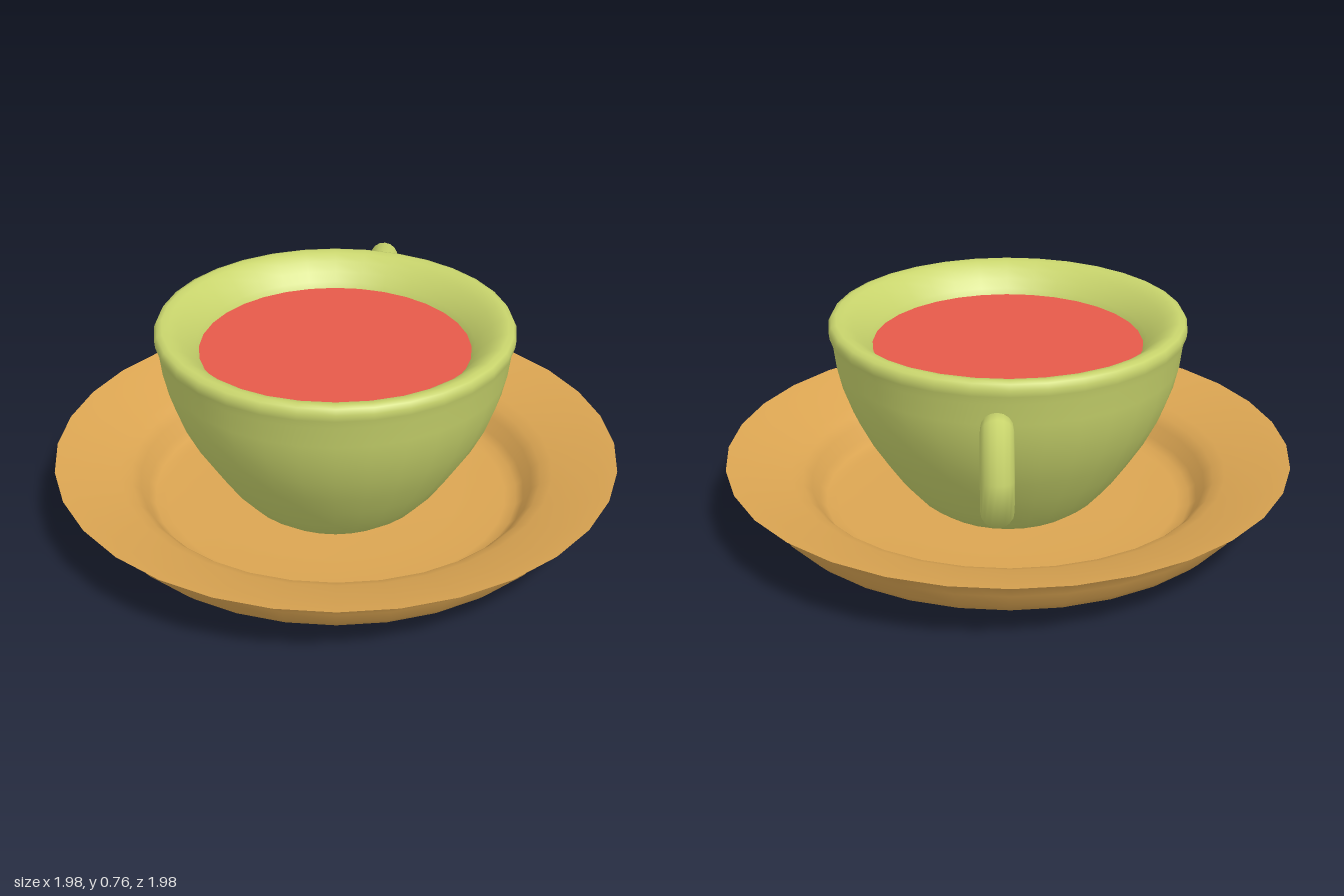
import * as THREE from 'three';

const SIDES = 32;
const CUP_Z = 0.013;

const paint = (color) => new THREE.MeshStandardMaterial({ color, side: THREE.DoubleSide });

// Smooth surface of revolution from [radius, height] pairs
function turned(name, profile, material) {
  const points = profile.map(([r, y]) => new THREE.Vector2(r, y));
  const mesh = new THREE.Mesh(new THREE.LatheGeometry(points, SIDES), material);
  mesh.name = name;
  return mesh;
}

// Round bar with angular bends, following [z, y] points in the x = 0 plane
function bentBar(path, radius, sides) {
  const pts = path.map(([z, y]) => new THREE.Vector3(0, y, z));
  const rows = pts.length - 1;
  const geo = new THREE.CylinderGeometry(radius, radius, 1, sides, rows, true);
  const pos = geo.attributes.position;
  const nor = geo.attributes.normal;
  const across = new THREE.Vector3(1, 0, 0);
  for (let i = 0; i <= rows; i++) {
    // The ring at each bend lies in the plane halving the angle
    const before = pts[i].clone().sub(pts[Math.max(i - 1, 0)]).normalize();
    const after = pts[Math.min(i + 1, rows)].clone().sub(pts[i]).normalize();
    const along = before.add(after).normalize().negate();
    const out = new THREE.Vector3().crossVectors(across, along);
    for (let j = 0; j <= sides; j++) {
      const k = i * (sides + 1) + j;
      const a = (j / sides) * Math.PI * 2;
      const n = across.clone().multiplyScalar(Math.sin(a)).addScaledVector(out, Math.cos(a));
      const p = pts[i].clone().addScaledVector(n, radius);
      pos.setXYZ(k, p.x, p.y, p.z);
      nor.setXYZ(k, n.x, n.y, n.z);
    }
  }
  return geo;
}

export function createModel() {
  const model = new THREE.Group();
  const green = paint(0xc8d46c);
  const tan = paint(0xdba552);
  const red = paint(0xe65a4a);

  // Saucer: underside and upper face meet in a sharp rim
  const saucer = new THREE.Group();
  saucer.name = 'saucer';
  saucer.add(
    turned('saucerUnderside', [
      [0, 0.043], [0.25, 0.045], [0.5, 0.05], [0.68, 0.056], [0.78, 0.069], [0.83, 0.09],
      [0.865, 0.125], [0.89, 0.175], [0.915, 0.222], [0.945, 0.248], [0.992, 0.263],
    ], tan),
    turned('saucerTop', [
      [0.992, 0.263], [0.93, 0.25], [0.84, 0.222], [0.77, 0.2], [0.73, 0.183], [0.7, 0.155],
      [0.675, 0.11], [0.65, 0.087], [0.61, 0.077], [0.45, 0.072], [0, 0.07],
    ], tan),
  );
  model.add(saucer);

  const cup = new THREE.Group();
  cup.name = 'cup';
  cup.position.z = CUP_Z;

  // Cup bowl with a rounded, slightly flared lip
  cup.add(turned('bowl', [
    [0, 0.003], [0.1, 0.012], [0.2, 0.034], [0.27, 0.064], [0.33, 0.11], [0.39, 0.18],
    [0.445, 0.262], [0.5, 0.35], [0.545, 0.44], [0.577, 0.53], [0.595, 0.61], [0.604, 0.685],
    [0.615, 0.715], [0.617, 0.738], [0.608, 0.756], [0.59, 0.762], [0.565, 0.757],
    [0.535, 0.738], [0.505, 0.71], [0.48, 0.68], [0.465, 0.655], [0.44, 0.6],
  ], green));

  // Drink surface
  const drink = new THREE.Mesh(new THREE.CircleGeometry(0.468, SIDES).rotateX(-Math.PI / 2), red);
  drink.name = 'drink';
  drink.position.y = 0.66;
  cup.add(drink);
  model.add(cup);

  // Angular handle at the back
  const handle = new THREE.Mesh(bentBar([
    [-0.53, 0.583], [-0.752, 0.664], [-0.845, 0.55], [-0.785, 0.415], [-0.54, 0.36], [-0.41, 0.24],
  ], 0.053, 16), green);
  handle.name = 'handle';
  handle.position.x = 0.04;
  model.add(handle);

  return model;
}
